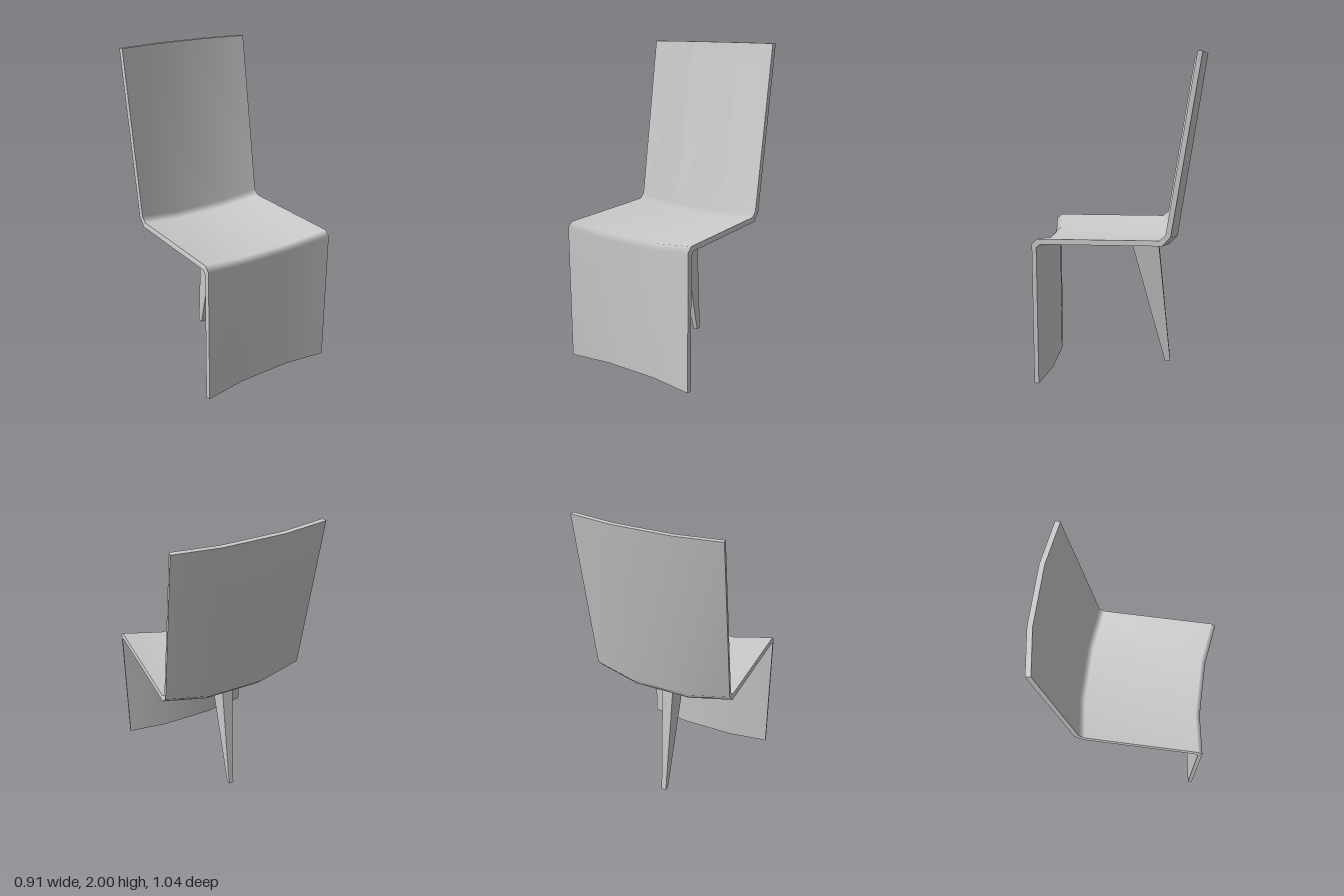
import * as THREE from 'three';

const material = new THREE.MeshStandardMaterial({ color: 0xcccccc });

// Smooth sheet through rows of points; faces look along (column x row).
function sheet(name, rows) {
  const cols = rows[0].length;
  const index = [];
  for (let r = 0; r < rows.length - 1; r++) {
    for (let c = 0; c < cols - 1; c++) {
      const a = r * cols + c, b = a + 1, d = a + cols, e = d + 1;
      index.push(a, b, e, a, e, d);
    }
  }
  const geometry = new THREE.BufferGeometry().setFromPoints(rows.flat());
  geometry.setIndex(index);
  geometry.computeVertexNormals();
  const mesh = new THREE.Mesh(geometry, material);
  mesh.name = name;
  return mesh;
}

// Sweep a side profile of [z, y] points across the width, dished in the middle.
function skinRows(profile, halfWidth) {
  const columns = [[-halfWidth, 0], [-0.183, 1], [0.183, 1], [halfWidth, 0]];
  return profile.map(([z, y], i) => {
    const isEnd = i === 0 || i === profile.length - 1;
    return columns.map(([x, dish]) =>
      new THREE.Vector3(x, y - (isEnd ? 0 : 0.042 * dish), z - 0.04 * dish));
  });
}

// Folded shell: front panel, seat and backrest in one bent sheet.
function createShell() {
  const upper = skinRows([[0.518, 0], [0.518, 0.875], [0.487, 0.907],
    [-0.245, 0.907], [-0.28, 0.94], [-0.45, 2]], 0.452);
  const lower = skinRows([[0.49, 0], [0.49, 0.854], [0.467, 0.875],
    [-0.26, 0.875], [-0.31, 0.928], [-0.48, 2]], 0.457);
  const last = upper.length - 1;
  const shell = new THREE.Group();
  shell.name = 'shell';
  shell.add(
    sheet('upperSkin', upper),
    sheet('lowerSkin', lower.map((row) => [...row].reverse())),
    sheet('leftEdge', upper.map((row, i) => [row[3], lower[i][3]])),
    sheet('rightEdge', upper.map((row, i) => [lower[i][0], row[0]])),
    sheet('footEdge', [lower[0], upper[0]]),
    sheet('topEdge', [upper[last], lower[last]]),
  );
  return shell;
}

// Single tapered rear leg, leaning back towards the floor.
function createRearLeg() {
  const geometry = new THREE.BoxGeometry(1, 1, 1);
  const p = geometry.attributes.position;
  for (let i = 0; i < p.count; i++) {
    const top = p.getY(i) > 0, front = p.getZ(i) > 0;
    const z = top ? (front ? -0.045 : -0.225) : (front ? -0.275 : -0.31);
    p.setXYZ(i, p.getX(i) * (top ? 0.075 : 0.032), top ? 0.838 : 0, z);
  }
  geometry.computeVertexNormals();
  const leg = new THREE.Mesh(geometry, material);
  leg.name = 'rearLeg';
  return leg;
}

export function createModel() {
  const chair = new THREE.Group();
  chair.name = 'chair';
  chair.add(createShell(), createRearLeg());
  return chair;
}
